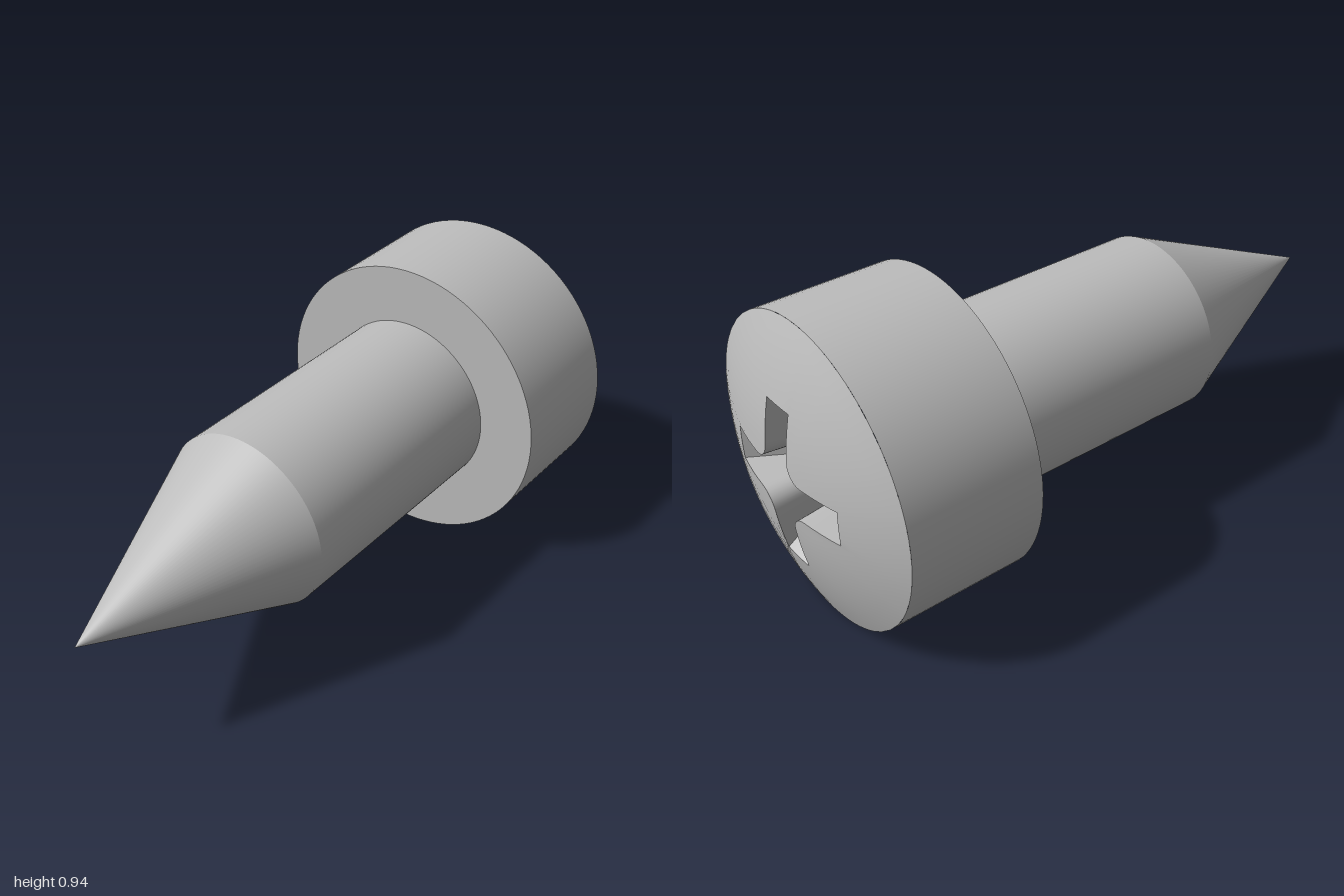
import * as THREE from 'three';
import { toCreasedNormals } from 'three/addons/utils/BufferGeometryUtils.js';

const HEAD_R = 0.4665, SHANK_R = 0.283, SEGMENTS = 96;
const HEAD_BACK = 0.48, RIM = 0.897, FLOOR = 0.74;

// Height of the domed face at a given radius from the axis
const dome = r => 1.001 - 0.478 * r * r;

// Skin between closed loops of points, ordered from the centre outwards
function loft(loops) {
  const out = [], tri = new THREE.Triangle();
  const add = (a, b, c) => {
    if (tri.set(a, b, c).getArea() > 1e-9) for (const p of [a, b, c]) out.push(p.x, p.y, p.z);
  };
  for (let j = 0; j < loops.length - 1; j++) {
    const inner = loops[j], outer = loops[j + 1];
    inner.forEach((p, i) => {
      const n = (i + 1) % inner.length;
      add(p, outer[i], outer[n]);
      add(p, outer[n], inner[n]);
    });
  }
  const g = new THREE.BufferGeometry();
  g.setAttribute('position', new THREE.Float32BufferAttribute(out, 3));
  return toCreasedNormals(g, 0.5);
}

// Cross-shaped outline: pairs of [edge on the face, matching point on the floor]
function crossOutline() {
  const arm = 0.25, half = 0.054, bend = 0.11;
  const floorArm = 0.083, floorHalf = 0.041;
  const quarter = [];
  const side = (from, to, v) => {
    for (let i = 0; i < 4; i++)
      quarter.push([from + (to - from) * i / 4, v, floorArm, Math.sign(v) * floorHalf]);
  };
  side(bend, arm, -half);
  for (let i = 0; i < 5; i++) {
    const t = i / 2.5 - 1;
    quarter.push([arm, half * t, floorArm, floorHalf * t]);
  }
  side(arm, bend, half);
  for (let i = 0; i < 6; i++) {           // rounded inner corner
    const a = i / 6 * Math.PI / 2, s = 1 - Math.sin(a), c = 1 - Math.cos(a);
    quarter.push([
      half + (bend - half) * s, half + (bend - half) * c,
      floorHalf + (floorArm - floorHalf) * s, floorHalf + (floorArm - floorHalf) * c
    ]);
  }
  const edge = [], floor = [];
  for (let k = 0; k < 4; k++) {
    const c = Math.round(Math.cos(k * Math.PI / 2)), s = Math.round(Math.sin(k * Math.PI / 2));
    const place = (u, v, h) => new THREE.Vector3(s * u + c * v, h, c * u - s * v);
    for (const [u, v, fu, fv] of quarter) {
      edge.push(place(u, v, dome(Math.hypot(u, v))));
      floor.push(place(fu, fv, FLOOR));
    }
  }
  return { edge, floor };
}

export function createModel() {
  const model = new THREE.Group();
  model.name = 'screw';
  const steel = new THREE.MeshStandardMaterial({ color: 0xbcbcbc });
  steel.name = 'steel grey';

  // Everything is built along +y, then laid on its slightly tilted axis
  const body = new THREE.Group();
  body.name = 'screwBody';
  body.quaternion.setFromUnitVectors(
    new THREE.Vector3(0, 1, 0), new THREE.Vector3(1, 0.0068, 0.0095).normalize());
  body.rotateY(0.007);
  body.position.set(0, 0.4636, -0.007);
  model.add(body);

  const add = (name, geometry) => {
    const mesh = new THREE.Mesh(geometry, steel);
    mesh.name = name;
    body.add(mesh);
  };
  const lathe = points => toCreasedNormals(
    new THREE.LatheGeometry(points.map(p => new THREE.Vector2(...p)), SEGMENTS), 0.35);

  // Pointed shank and the plain cylinder of the head
  add('pointedTip', lathe([[0, -1], [SHANK_R, -0.33]]));
  add('shank', lathe([[SHANK_R, -0.33], [SHANK_R, HEAD_BACK]]));
  add('headSide', lathe([[SHANK_R, HEAD_BACK], [HEAD_R, HEAD_BACK], [HEAD_R, RIM]]));

  // Domed face, running from the recess edge to the rim
  const { edge, floor } = crossOutline();
  const rings = 6;
  const loops = Array.from({ length: rings + 1 }, (_, j) => edge.map(p => {
    const r = Math.hypot(p.x, p.z), R = r + (HEAD_R - r) * j / rings;
    return new THREE.Vector3(p.x * R / r, dome(R), p.z * R / r);
  }));
  add('domedFace', loft(loops));

  // Cross recess with sloping ends and a flat floor
  const centre = floor.map(() => new THREE.Vector3(0, FLOOR, 0));
  add('driveRecess', loft([centre, floor, edge]));

  return model;
}
